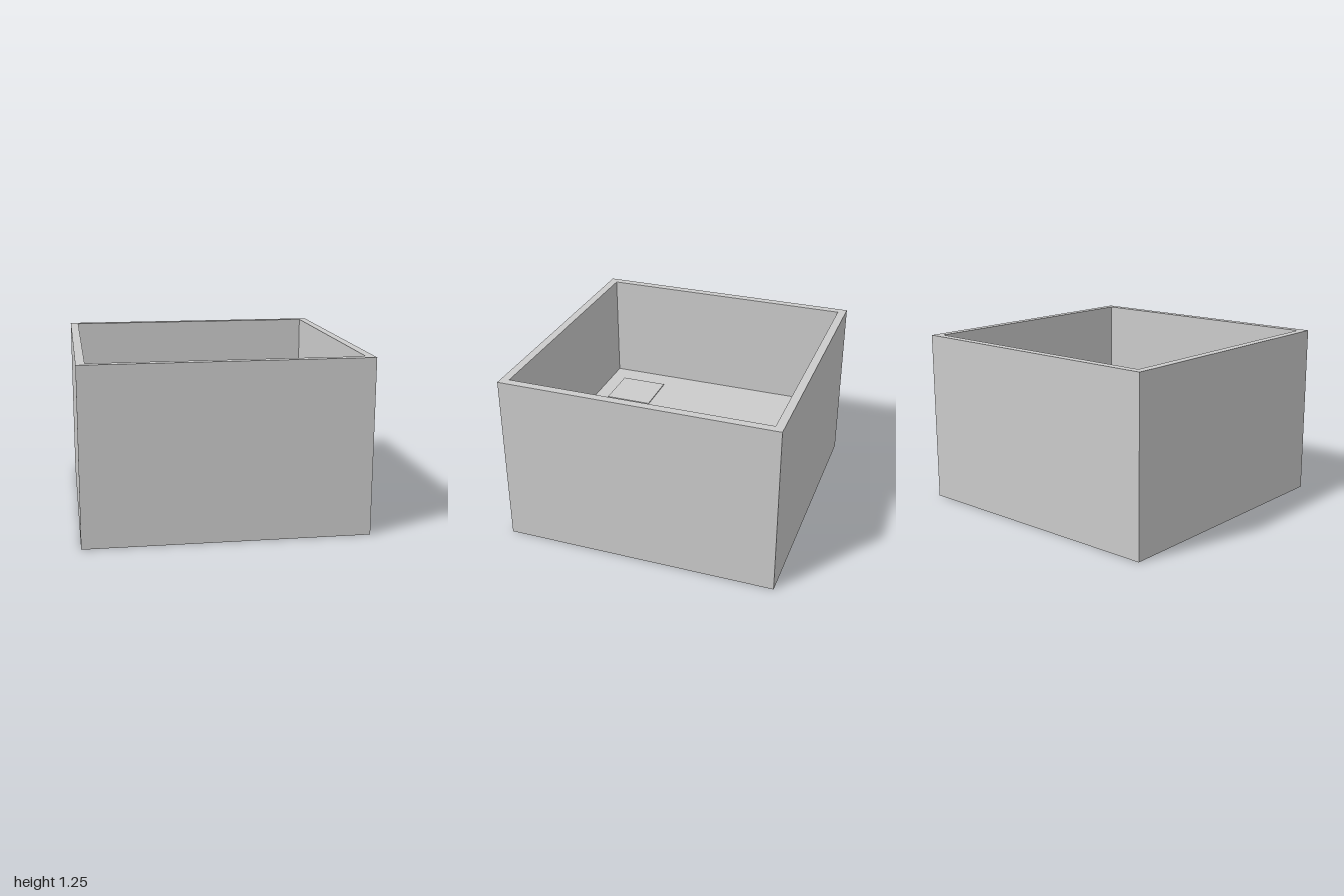
import * as THREE from 'three';

const material = new THREE.MeshStandardMaterial({ color: 0xcccccc, flatShading: true, side: THREE.DoubleSide });

function addPart(group, name, geometry, x, y, z) {
  const mesh = new THREE.Mesh(geometry, material);
  mesh.name = name;
  mesh.position.set(x, y, z);
  group.add(mesh);
  return mesh;
}

// Square outline centred on the origin
function square(Type, half) {
  return new Type([[-1, -1], [1, -1], [1, 1], [-1, 1]].map(([x, y]) => new THREE.Vector2(x * half, y * half)));
}

export function createModel() {
  const group = new THREE.Group();
  group.name = 'openBox';

  const height = 1.25;
  const inner = 0.94;
  const floorY = 0.4375;

  // Four walls as one frame, open above and below
  const outline = square(THREE.Shape, 1);
  outline.holes.push(square(THREE.Path, inner));
  const walls = new THREE.ExtrudeGeometry(outline, { depth: height, bevelEnabled: false });
  walls.rotateX(-Math.PI / 2);
  addPart(group, 'walls', walls, 0, 0, 0);

  // Thin raised floor
  const floor = new THREE.PlaneGeometry(inner * 2, inner * 2).rotateX(-Math.PI / 2);
  addPart(group, 'floor', floor, 0, floorY, 0);

  // Block hanging under the floor, its top just showing through
  const size = 0.36;
  addPart(group, 'block', new THREE.BoxGeometry(size, size, size), -0.595, 0.086 + size / 2, 0.645);

  // Thin plate level with the underside of the block
  const plate = new THREE.PlaneGeometry(size, 0.73).rotateX(Math.PI / 2);
  addPart(group, 'plate', plate, -0.195, 0.086, 0.355);

  return group;
}
